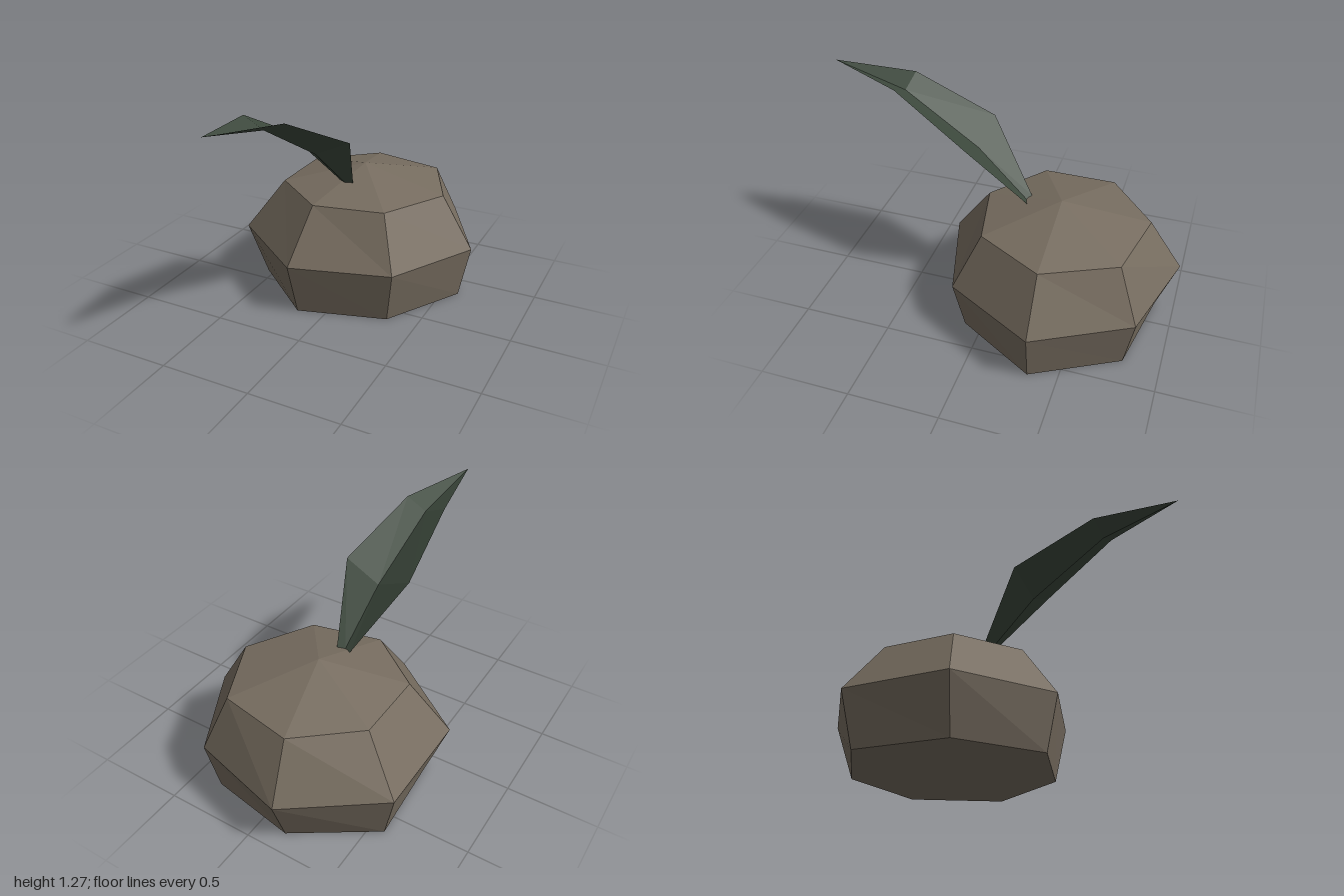
import * as THREE from 'three';

// Skins consecutive rows of points with flat-shaded faces; a one-point row closes to a tip.
function loft(rows, closed) {
  const n = Math.max(...rows.map((r) => r.length));
  const at = (r, i) => r[r.length === 1 ? 0 : i % n];
  const pos = [];
  for (let r = 0; r < rows.length - 1; r++) {
    const lo = rows[r], hi = rows[r + 1];
    for (let i = 0; i < (closed ? n : n - 1); i++) {
      const a = at(lo, i), b = at(hi, i), c = at(hi, i + 1), d = at(lo, i + 1);
      if (b !== c) pos.push(...a, ...b, ...c);
      if (a !== d) pos.push(...a, ...c, ...d);
    }
  }
  const g = new THREE.BufferGeometry();
  g.setAttribute('position', new THREE.Float32BufferAttribute(pos, 3));
  g.computeVertexNormals();
  return g;
}

// Horizontal ring of [x, z] points lifted to height y
const ring = (y, pts) => pts.map(([x, z]) => [x, y, z]);

export function createModel() {
  const group = new THREE.Group();
  const brown = new THREE.MeshStandardMaterial({ name: 'earthyBrown', color: 0x766c5f, flatShading: true });
  const green = new THREE.MeshStandardMaterial({
    name: 'darkLeafGreen', color: 0x3d493d, flatShading: true, side: THREE.DoubleSide,
  });

  // Seven-sided bulb: base, belly, shoulder and shallow peak
  const bulb = new THREE.Mesh(loft([
    [[-0.02, 0, -0.34]],
    ring(0, [[0.59, -0.34], [0.33, 0.10], [-0.155, 0.24], [-0.545, -0.09], [-0.58, -0.61], [-0.155, -0.89], [0.34, -0.8]]),
    ring(0.3, [[0.65, -0.345], [0.375, 0.15], [-0.173, 0.31], [-0.65, -0.05], [-0.65, -0.65], [-0.173, -1], [0.378, -0.85]]),
    ring(0.597, [[0.467, -0.345], [0.265, 0.018], [-0.125, 0.1], [-0.443, -0.145], [-0.443, -0.55], [-0.13, -0.815], [0.285, -0.732]]),
    [[-0.015, 0.714, -0.343]],
  ], true), brown);
  bulb.name = 'bulb';

  // Creased leaf arching forward: left edge, midrib, right edge
  const leaf = new THREE.Mesh(loft([
    [[-0.086, 0.661, -0.158], [-0.046, 0.657, -0.139], [-0.003, 0.659, -0.153]],
    [[-0.276, 1.015, 0.117], [-0.077, 0.917, 0.145], [0.125, 1.015, 0.153]],
    [[-0.24, 1.23, 0.557], [-0.12, 1.175, 0.572], [0, 1.23, 0.582]],
    [[-0.165, 1.268, 0.998]],
  ], false), green);
  leaf.name = 'leaf';

  group.add(bulb, leaf);
  return group;
}
